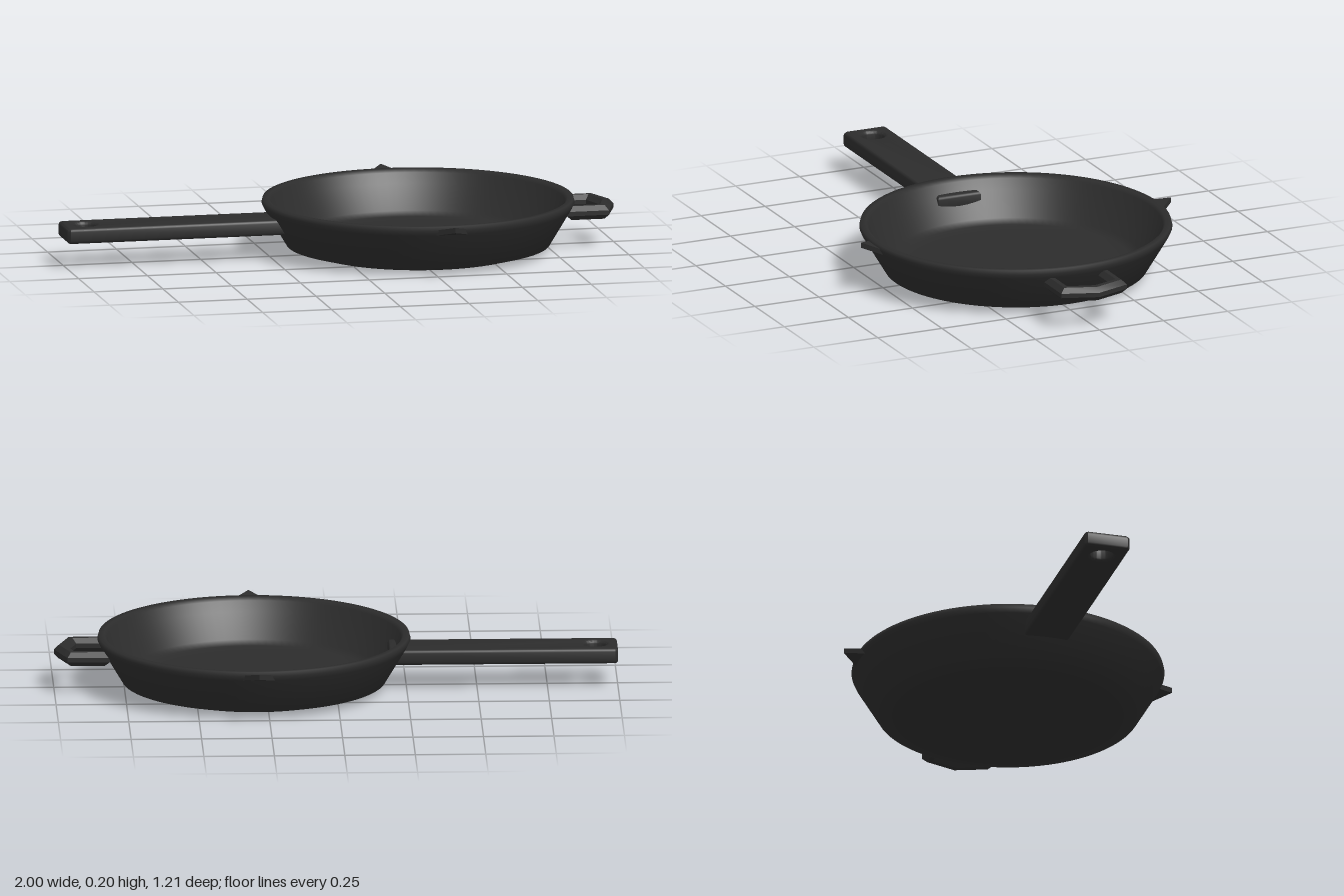
import * as THREE from 'three';
import { toCreasedNormals } from 'three/addons/utils/BufferGeometryUtils.js';

const PAN_X = 0.29;

function polygon(points) {
  return points.map(([x, z]) => new THREE.Vector2(x, z));
}

// Horizontal plate drawn in x/z, with bevelled edges kept inside its outline
function slab(shape, bottom, top, bevel, segments) {
  const geometry = new THREE.ExtrudeGeometry(shape, {
    depth: top - bottom - 2 * bevel,
    bevelEnabled: bevel > 0,
    bevelSize: bevel,
    bevelThickness: bevel,
    bevelOffset: -bevel,
    bevelSegments: segments,
    curveSegments: 24,
  });
  geometry.rotateX(Math.PI / 2);
  geometry.translate(0, top - bevel, 0);
  return toCreasedNormals(geometry, 0.7);
}

export function createModel() {
  const model = new THREE.Group();
  model.name = 'skillet';
  const iron = new THREE.MeshStandardMaterial({ color: 0x2c2c2c });
  iron.name = 'cast iron';

  const add = (name, geometry, parent = model) => {
    const mesh = new THREE.Mesh(geometry, iron);
    mesh.name = name;
    parent.add(mesh);
    return mesh;
  };

  // Pan body: outside from the base up, over the rim, down to the cooking floor
  const profile = polygon([
    [0, 0], [0.385, 0.002], [0.468, 0.025], [0.547, 0.158], [0.555, 0.175],
    [0.551, 0.19], [0.53, 0.19], [0.521, 0.178], [0.503, 0.142],
    [0.445, 0.055], [0.415, 0.04], [0.37, 0.033], [0, 0.03],
  ]);
  add('pan', new THREE.LatheGeometry(profile, 96)).position.x = PAN_X;

  // Long handle with hanging hole; its inner end shows inside the wall
  const handle = new THREE.Shape(polygon([
    [-1, -0.073], [-0.99, -0.083], [-0.187, -0.083],
    [-0.187, 0.083], [-0.99, 0.083], [-1, 0.073],
  ]));
  handle.holes.push(new THREE.Path().absarc(-0.92, 0, 0.04, 0, Math.PI * 2, true));
  add('handle', slab(handle, 0.09, 0.146, 0.012, 3));

  // Angular helper loop opposite the handle
  const loop = new THREE.Shape(polygon([
    [0.805, -0.128], [0.955, -0.128], [1, 0], [0.955, 0.128], [0.805, 0.128],
    [0.805, 0.078], [0.918, 0.078], [0.943, 0], [0.918, -0.078], [0.805, -0.078],
  ]));
  add('helperHandle', slab(loop, 0.106, 0.156, 0.017, 1));

  // Pointed pouring lips on both sides, rising outward
  for (const side of [1, -1]) {
    const lip = slab(new THREE.Shape(polygon([[-0.07, 0.53], [0.07, 0.53], [0, 0.605]])), 0.16, 0.179, 0, 1);
    const p = lip.attributes.position;
    for (let i = 0; i < p.count; i++) p.setY(i, p.getY(i) + 0.3 * (p.getZ(i) - 0.55));
    lip.computeVertexNormals();
    const mesh = add(side > 0 ? 'frontPouringLip' : 'backPouringLip', lip);
    mesh.position.x = PAN_X;
    mesh.rotation.y = side > 0 ? 0 : Math.PI;
  }

  return model;
}
